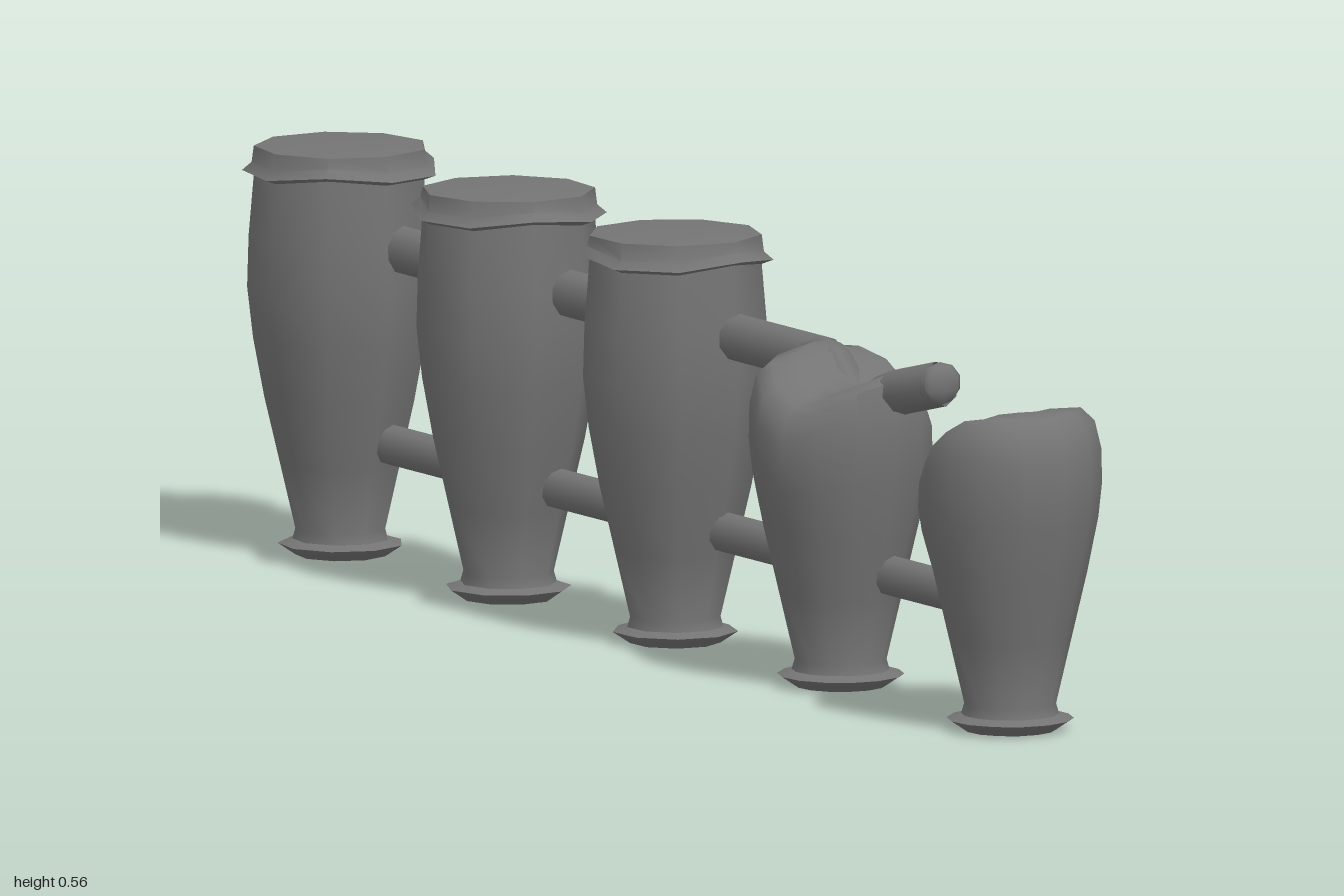
import * as THREE from 'three';
import { toCreasedNormals } from 'three/addons/utils/BufferGeometryUtils.js';

const material = new THREE.MeshStandardMaterial({ color: 0x747474, side: THREE.DoubleSide });
const RAIL_X = 0.03;

// Foot flange and tapering belly shared by every post: [radius, height]
const lower = [
  [0, 0.004], [0.062, 0.004], [0.086, 0.02], [0.066, 0.026], [0.062, 0.04],
  [0.083, 0.13], [0.104, 0.22], [0.119, 0.3],
];
const wholeTop = [
  [0.127, 0.37], [0.125, 0.44], [0.118, 0.525], [0.134, 0.531], [0.121, 0.542],
  [0.118, 0.562], [0.06, 0.566], [0, 0.566],
];
const brokenTop = [
  [0.124, 0.35], [0.123, 0.4], [0.114, 0.44], [0.095, 0.458], [0.06, 0.46], [0.03, 0.46], [0, 0.46],
];

// Linear interpolation through [position, height] pairs
function heightAt(curve, z) {
  for (let i = 1; i < curve.length; i++) {
    const [a, ya] = curve[i - 1], [b, yb] = curve[i];
    if (z <= b) return THREE.MathUtils.lerp(ya, yb, THREE.MathUtils.clamp((z - a) / (b - a), 0, 1));
  }
  return curve[curve.length - 1][1];
}

function lathe(profile, sides, turn) {
  const geometry = new THREE.LatheGeometry(profile.map(([r, y]) => new THREE.Vector2(r, y)), sides);
  return geometry.rotateY(turn);
}

function addPost(group, name, geometry, z) {
  const mesh = new THREE.Mesh(toCreasedNormals(geometry, 0.9), material);
  mesh.name = name;
  mesh.position.z = z;
  group.add(mesh);
}

// Whole post with a slightly uneven collar
function wholePost(turn) {
  const geometry = lathe([...lower, ...wholeTop], 9, turn);
  const p = geometry.attributes.position;
  for (let i = 0; i < p.count; i++) {
    const y = p.getY(i), angle = Math.atan2(p.getX(i), p.getZ(i));
    if (y > 0.5 && y < 0.55) p.setY(i, y + 0.006 * Math.sin(3 * angle + turn * 5));
  }
  return geometry;
}

// Post whose upper part is bent down to a break line along z, falling off by "slope" across x
function brokenPost(turn, breakCurve, slope) {
  const geometry = lathe([...lower, ...brokenTop], 14, turn);
  const p = geometry.attributes.position;
  const base = 0.22;
  for (let i = 0; i < p.count; i++) {
    const y = p.getY(i);
    if (y <= base) continue;
    const top = heightAt(breakCurve, p.getZ(i)) - slope * Math.abs(p.getX(i) - 0.01);
    p.setY(i, base + (y - base) * (top - base) / (0.46 - base));
  }
  return geometry;
}

function addRail(group, name, y, radius, zFrom, zTo) {
  const geometry = new THREE.CylinderGeometry(radius, radius, Math.abs(zTo - zFrom), 10);
  geometry.rotateX(Math.PI / 2);
  const mesh = new THREE.Mesh(geometry, material);
  mesh.name = name;
  mesh.position.set(RAIL_X, y, (zFrom + zTo) / 2);
  group.add(mesh);
}

export function createModel() {
  const group = new THREE.Group();
  group.name = 'brokenFence';

  // Whole posts, each turned a little differently
  [0.003, -0.432, -0.867].forEach((z, i) => addPost(group, 'post' + (i + 3), wholePost(0.2 + i * 0.25), z));

  // Broken posts
  addPost(group, 'brokenEndPost', brokenPost(0.1,
    [[-0.12, 0.345], [-0.08, 0.37], [0, 0.425], [0.05, 0.446], [0.09, 0.443], [0.122, 0.43]], 0), 0.877);
  addPost(group, 'brokenPost', brokenPost(0.1,
    [[-0.122, 0.45], [-0.06, 0.468], [-0.03, 0.455], [0.02, 0.416], [0.06, 0.42], [0.122, 0.455]], 0.2), 0.435);

  // Rails
  addRail(group, 'lowerRail', 0.162, 0.028, 0.83, -0.84);
  addRail(group, 'upperRail', 0.432, 0.033, 0.34, -0.84);

  // Snapped end of the upper rail, sunk into the broken post
  const sag = new THREE.CatmullRomCurve3([
    [0.03, 0.432, 0.32], [0.015, 0.434, 0.385], [0.015, 0.384, 0.455],
    [0.025, 0.412, 0.53], [0.03, 0.425, 0.58], [0.04, 0.438, 0.63],
  ].map((p) => new THREE.Vector3(...p)));
  const stub = new THREE.Mesh(new THREE.TubeGeometry(sag, 14, 0.031, 8), material);
  stub.name = 'snappedRail';
  group.add(stub);

  // Blunt tip closing the snapped rail
  const tip = new THREE.Mesh(new THREE.SphereGeometry(0.033, 8, 5), material);
  tip.name = 'snappedTip';
  tip.scale.set(1, 0.9, 0.45);
  tip.position.set(0.04, 0.438, 0.628);
  group.add(tip);

  return group;
}
